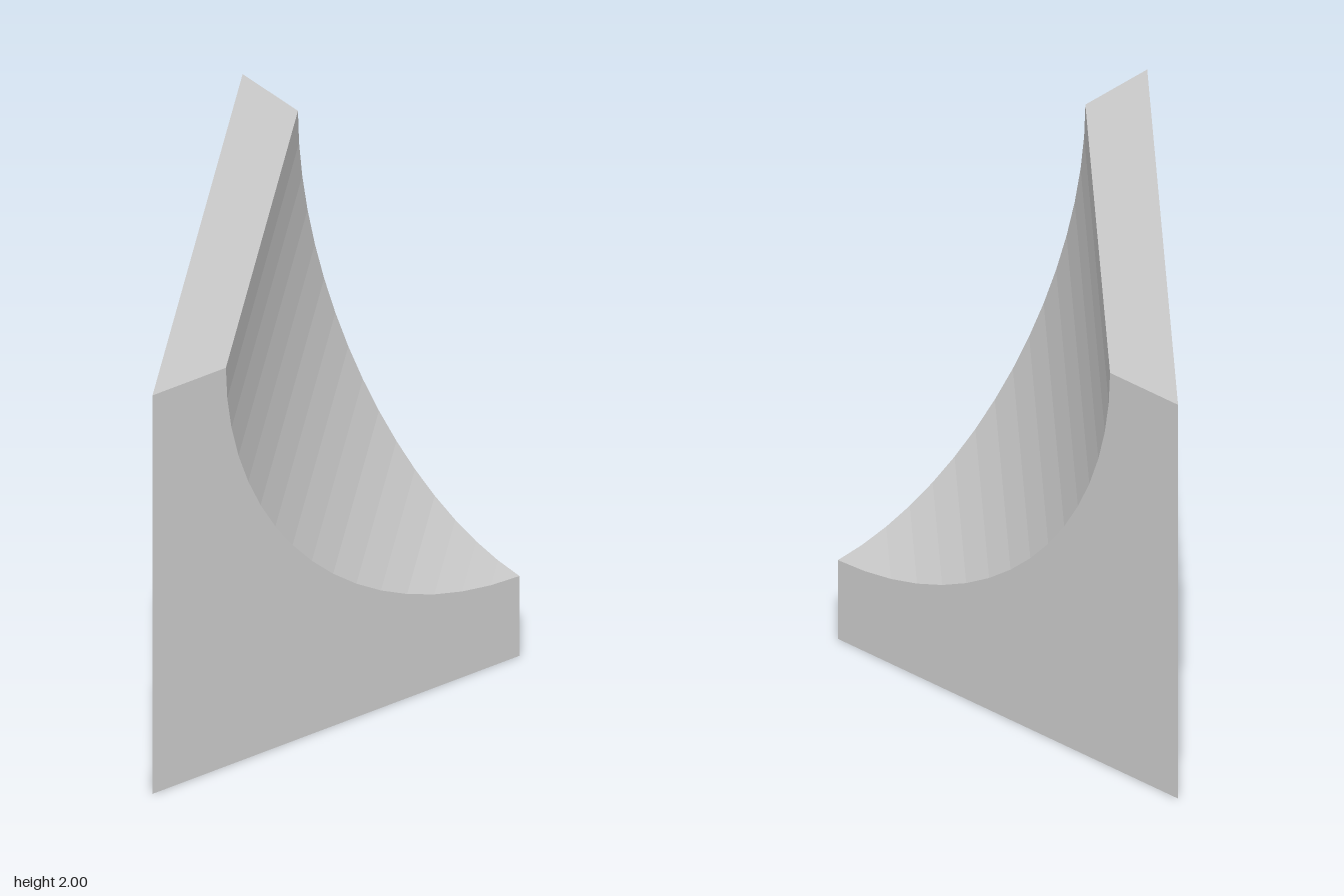
import * as THREE from 'three';

const SEGMENTS = 16; // facets along the quarter-round hollow
const RADIUS = 1.6;

export function createModel() {
  const grey = new THREE.MeshStandardMaterial({ color: 0xcccccc });
  grey.name = 'plain grey';

  // Profile: u runs from the diagonal wall (0) to the back corner (2), y is up
  const profile = new THREE.Shape();
  profile.moveTo(0, 0);
  profile.lineTo(2, 0);
  for (let i = 0; i <= SEGMENTS; i++) {
    const a = (i / SEGMENTS) * Math.PI / 2;
    profile.lineTo(2 - RADIUS * Math.sin(a), 2 - RADIUS * Math.cos(a));
  }
  profile.lineTo(0, 2);
  profile.closePath();

  const geometry = new THREE.ExtrudeGeometry(profile, { depth: 1, steps: 1, bevelEnabled: false });

  // Mitre both ends: the sweep runs diagonally from the plane z = -1 to the plane x = 1
  const p = geometry.attributes.position;
  for (let i = 0; i < p.count; i++) {
    const u = p.getX(i);
    const run = p.getZ(i) * (2 - u);
    p.setXYZ(i, u - 1 + run, p.getY(i), -1 + run);
  }
  geometry.computeVertexNormals();

  const block = new THREE.Mesh(geometry, grey);
  block.name = 'hollowedCornerBlock';

  const model = new THREE.Group();
  model.name = 'cornerCove';
  model.add(block);
  return model;
}
